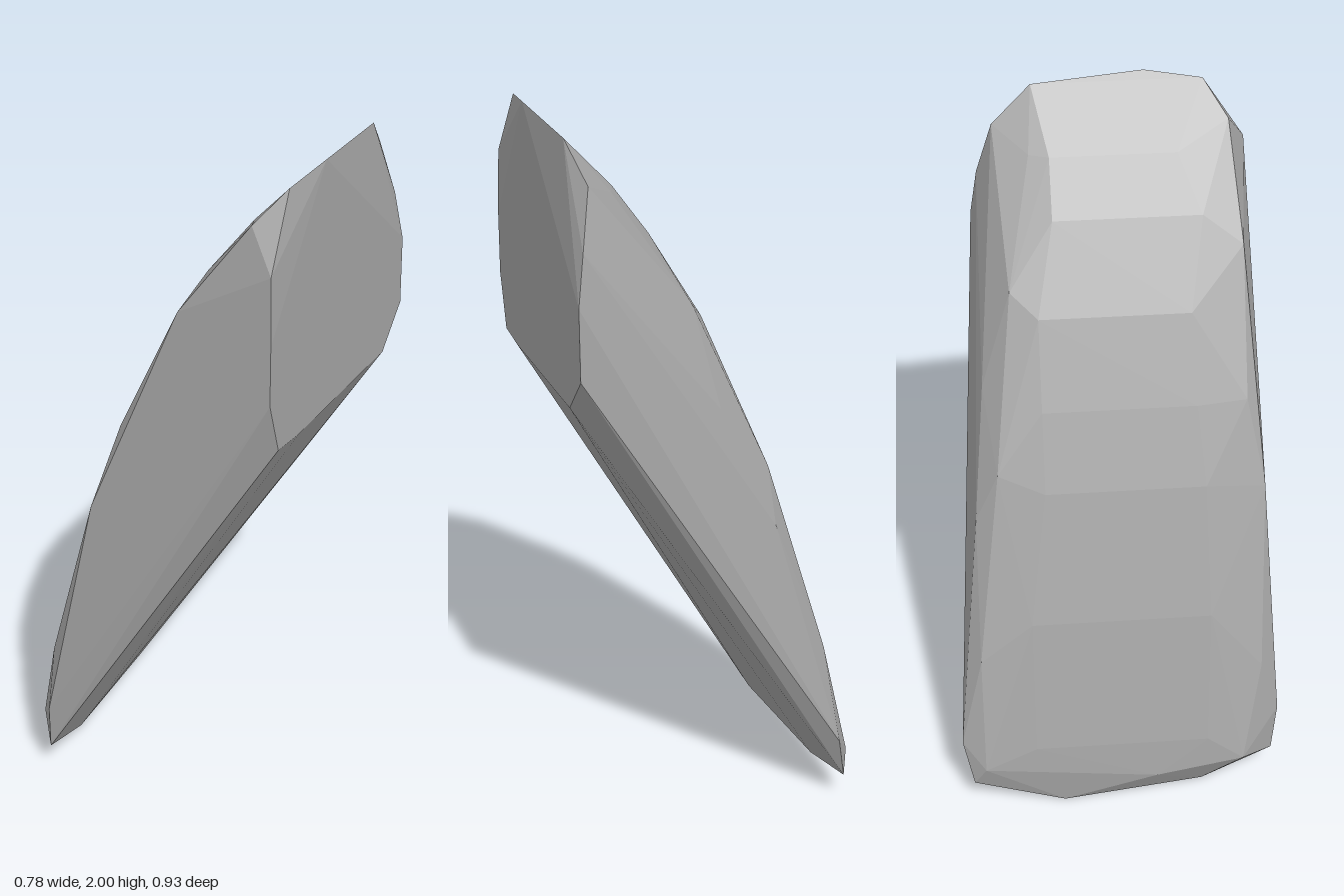
import * as THREE from 'three';
import { ConvexGeometry } from 'three/addons/geometries/ConvexGeometry.js';

export function createModel() {
  const group = new THREE.Group();
  const stone = new THREE.MeshStandardMaterial({ color: 0xa6a6a6 });
  const points = [];
  const add = (list) => list.forEach(([x, y, z]) => points.push(new THREE.Vector3(x, y, z)));

  // upright cut face on the +x end
  add([
    [0.37, 1.98, 0.28], [0.39, 2, 0.12], [0.37, 1.98, -0.19], [0.34, 1.88, -0.3],
    [0.37, 1.72, -0.345], [0.39, 1.58, -0.365], [0.39, 1.38, -0.37], [0.39, 1.27, -0.265],
    [0.39, 1.265, 0.24], [0.39, 1.275, 0.355], [0.39, 1.43, 0.405], [0.39, 1.6, 0.405],
    [0.385, 1.79, 0.4], [0.3, 1.89, 0.345],
  ]);

  // blunt foot and its corners
  add([
    [-0.3, 0.1, 0.45], [-0.29, 0.25, 0.465], [-0.33, 0.02, 0.24], [-0.37, 0.005, -0.17],
    [-0.36, 0.085, -0.435], [-0.33, 0.22, -0.465], [-0.39, 0.1, 0.1],
    [-0.38, 0.14, 0.355], [-0.38, 0.15, -0.4],
  ]);

  // curved outer crown: x, y, front z, back z
  [
    [-0.375, 0.22, 0.25, -0.25], [-0.29, 0.62, 0.26, -0.25], [-0.18, 1, 0.25, -0.2],
    [-0.1, 1.22, 0.23, -0.2], [0, 1.46, 0.22, -0.2], [0.13, 1.69, 0.26, -0.15],
    [0.23, 1.83, 0.2, -0.15],
  ].forEach(([x, y, front, back]) => add([[x, y, front], [x, y, back]]));

  // front and back shoulder ridges
  add([
    [-0.3, 0.43, 0.41], [-0.15, 0.97, 0.42], [-0.08, 1.22, 0.37], [0.1, 1.61, 0.37],
    [-0.3, 0.5, -0.4], [-0.15, 1.05, -0.33], [0.05, 1.52, -0.275], [0.25, 1.83, -0.205],
    [-0.15, 0.9, -0.395], [0, 1.25, -0.36],
  ]);

  // faceted stone shard
  const shard = new THREE.Mesh(new ConvexGeometry(points), stone);
  shard.name = 'stoneShard';
  group.add(shard);
  return group;
}
